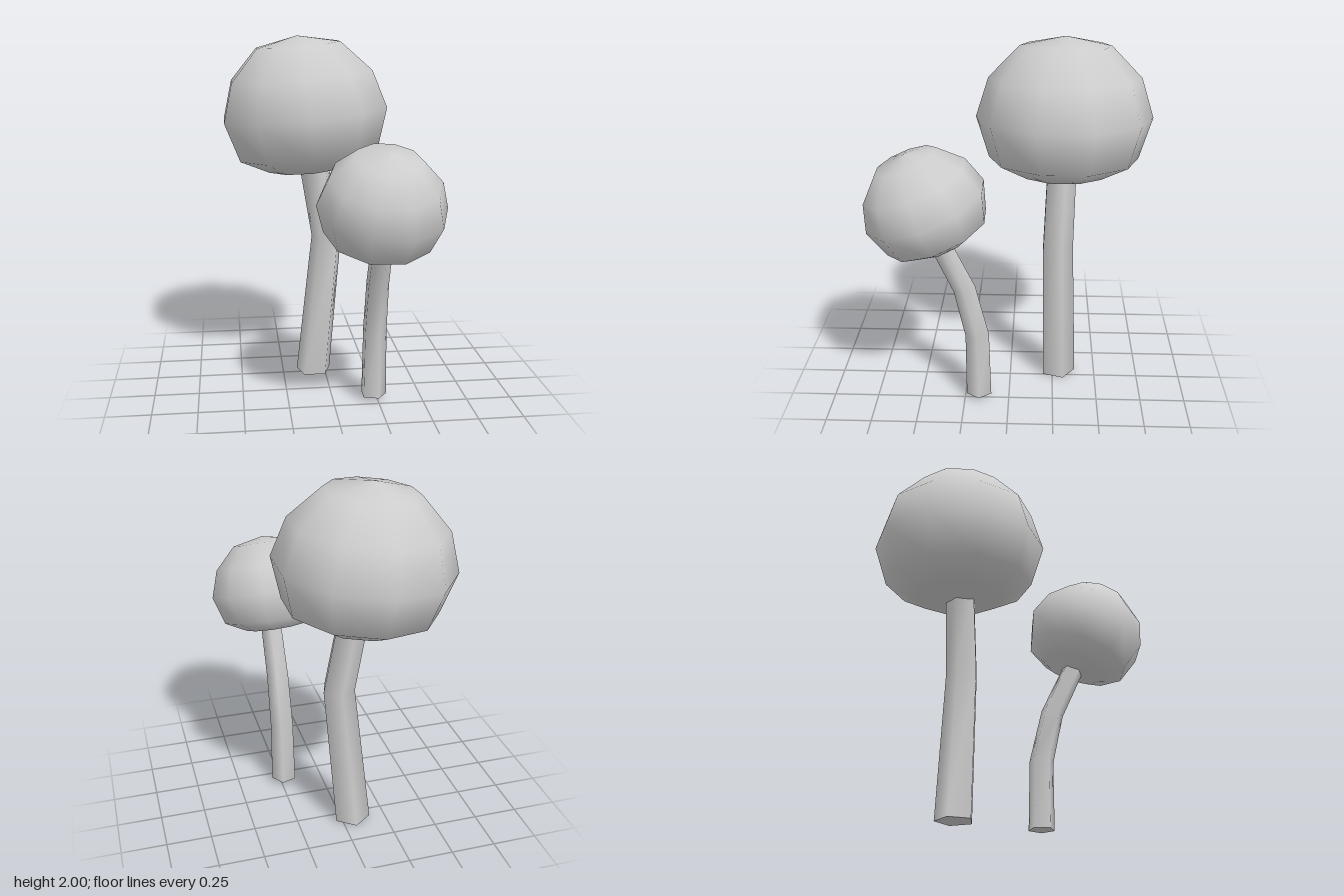
import * as THREE from 'three';
import { toCreasedNormals } from 'three/addons/utils/BufferGeometryUtils.js';

const paleGrey = new THREE.MeshStandardMaterial({ color: 0xcccccc });
paleGrey.name = 'paleGrey';

// Domed cap: ten sides, rounder above than below
function makeCap(name, size, position, tiltX, tiltZ, spin) {
  const profile = [
    [0, -0.33], [0.245, -0.312], [0.41, -0.225], [0.48, 0],
    [0.412, 0.213], [0.245, 0.383], [0, 0.433],
  ].map(([r, y]) => new THREE.Vector2(r * size, y * size));
  const cap = new THREE.Mesh(new THREE.LatheGeometry(profile, 10, spin), paleGrey);
  cap.name = name;
  cap.position.set(...position);
  cap.rotation.set(tiltX, 0, tiltZ);
  return cap;
}

// Bent five-sided stem; each ring is [x, y, z, radius, tiltX, tiltZ], bottom first
function makeStem(name, rings, spin) {
  const n = rings.length - 1;
  const geometry = new THREE.CylinderGeometry(1, 1, n, 5, n, false, spin);
  const pos = geometry.attributes.position;
  const v = new THREE.Vector3();
  for (let i = 0; i < pos.count; i++) {
    v.fromBufferAttribute(pos, i);
    const [x, y, z, r, tiltX, tiltZ] = rings[Math.round(v.y + n / 2)];
    v.set(v.x * r, 0, v.z * r).applyEuler(new THREE.Euler(tiltX, 0, tiltZ));
    pos.setXYZ(i, v.x + x, v.y + y, v.z + z);
  }
  const stem = new THREE.Mesh(toCreasedNormals(geometry, 1.4), paleGrey);
  stem.name = name;
  return stem;
}

export function createModel() {
  const model = new THREE.Group();
  model.name = 'mushroomPair';

  // Tall mushroom at the back
  const tall = new THREE.Group();
  tall.name = 'tallMushroom';
  tall.add(
    makeStem('tallStem', [
      [-0.065, 0, -0.28, 0.105, 0, 0],
      [0.015, 0.845, -0.26, 0.092, 0, 0.04],
      [-0.07, 1.34, -0.276, 0.087, 0, 0.17],
    ], Math.PI),
    makeCap('tallCap', 1, [-0.113, 1.565, -0.29], 0, 0.087, 0),
  );

  // Short mushroom leaning forward
  const short = new THREE.Group();
  short.name = 'shortMushroom';
  short.add(
    makeStem('shortStem', [
      [0.228, 0.025, 0.17, 0.0735, 0, 0],
      [0.23, 0.41, 0.175, 0.069, 0.1, 0],
      [0.232, 0.695, 0.24, 0.065, 0.3, 0],
      [0.235, 1.06, 0.41, 0.06, 0.45, 0],
    ], Math.PI / 2),
    makeCap('shortCap', 0.71, [0.22, 1.168, 0.44], 0.35, -0.05, Math.PI / 2),
  );

  model.add(tall, short);
  return model;
}
